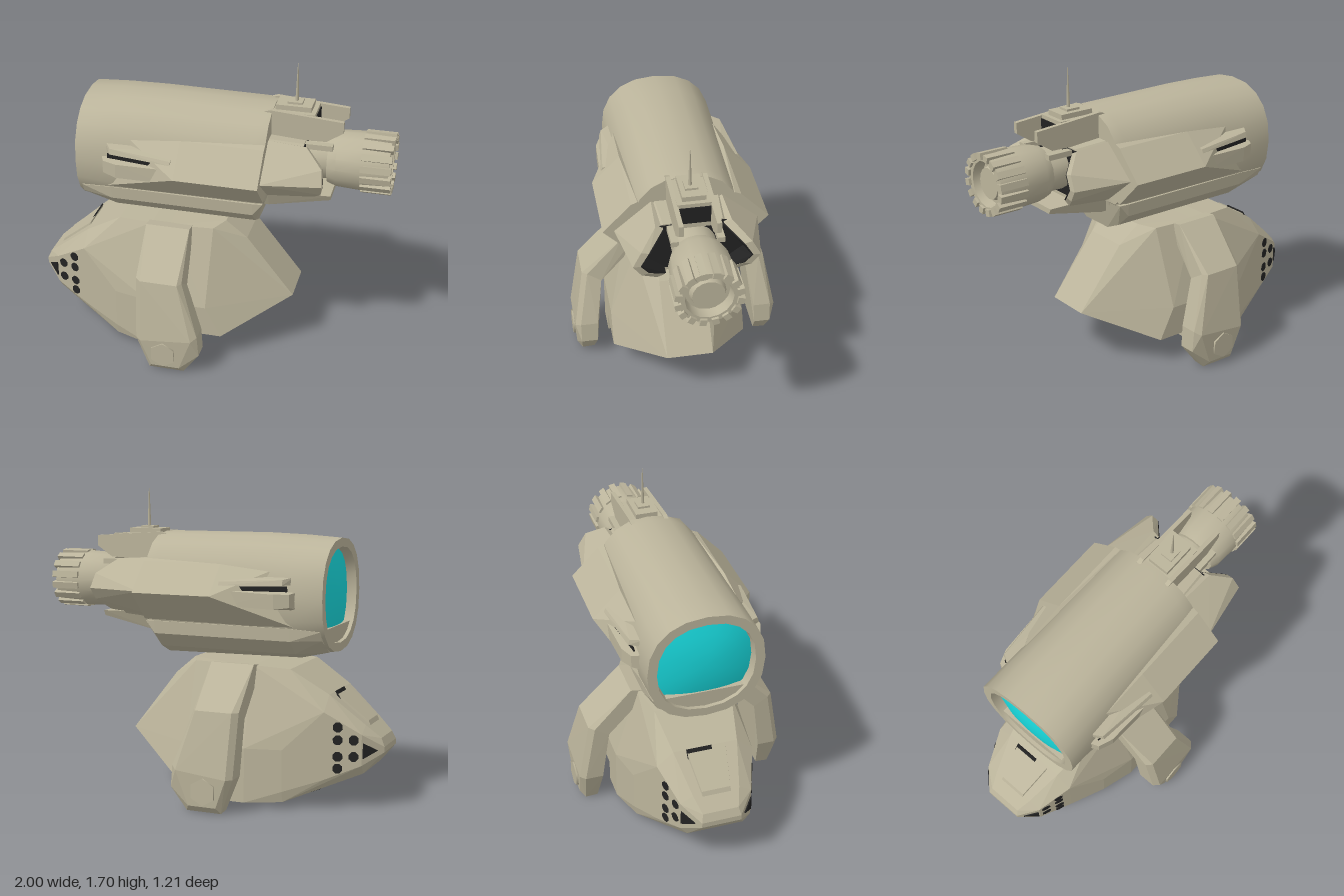
import * as THREE from 'three';
import { toCreasedNormals } from 'three/addons/utils/BufferGeometryUtils.js';
import { ConvexGeometry } from 'three/addons/geometries/ConvexGeometry.js';

const paint = (name, color) => Object.assign(new THREE.MeshStandardMaterial({ color }), { name });

export function createModel() {
  const root = new THREE.Group();
  const hullPaint = paint('khaki hull', 0xbbb49b);
  const black = paint('black', 0x222222);
  const teal = paint('teal lens', 0x18d8dc);

  const add = (name, geo, mat = hullPaint, x = 0, y = 0, z = 0) => {
    const m = new THREE.Mesh(geo, mat);
    m.name = name;
    m.position.set(x, y, z);
    root.add(m);
    return m;
  };
  const box = (name, x0, x1, y0, y1, z0, z1, mat) =>
    add(name, new THREE.BoxGeometry(x1 - x0, y1 - y0, z1 - z0), mat, (x0 + x1) / 2, (y0 + y1) / 2, (z0 + z1) / 2);
  // Convex solid around [x, y, z] points; s flips it to the other side
  const solid = (name, pts, s = 1, mat = hullPaint) =>
    add(name, new ConvexGeometry(pts.map(([x, y, z]) => new THREE.Vector3(x, y, z * s))), mat);
  const bothSides = pts => pts.flatMap(([x, y, z]) => [[x, y, z], [x, y, -z]]);

  // Skin over rings along x; each ring is [x, centreY, radiusY, radiusZ, lowest y]
  const loft = (rings, n, power, crease) => {
    const pos = [], idx = [];
    const bend = v => Math.sign(v) * Math.abs(v) ** power;
    rings.forEach(([x, cy, ry, rz, low = -9], i) => {
      for (let j = 0; j < n; j++) {
        const a = j / n * Math.PI * 2;
        pos.push(x, Math.max(low, cy + ry * bend(Math.cos(a))), rz * bend(Math.sin(a)));
        if (i + 1 < rings.length) {
          const p = i * n + j, q = i * n + (j + 1) % n;
          idx.push(p, q, p + n, q, q + n, p + n);
        }
      }
    });
    const g = new THREE.BufferGeometry();
    g.setAttribute('position', new THREE.Float32BufferAttribute(pos, 3));
    g.setIndex(idx);
    return toCreasedNormals(g, crease);
  };

  // Base: faceted nose and middle, then a wedge tail with a stepped underside
  solid('baseBody', bothSides([
    [-1, 0.345, 0.11], [-1, 0.315, 0.11], [-0.98, 0.39, 0.1], [-0.9, 0.46, 0.13],
    [-0.9, 0.42, 0.2], [-0.9, 0.25, 0.2], [-0.9, 0.2, 0.16],
    [-0.71, 0.62, 0.18], [-0.71, 0.54, 0.27], [-0.71, 0.17, 0.27], [-0.71, 0.13, 0.24],
    [-0.5, 0.75, 0.22], [-0.5, 0.33, 0.345], [-0.5, 0.1, 0.345], [-0.5, 0.04, 0.33],
    [-0.3, 0.765, 0.26], [-0.3, 0.33, 0.39], [-0.3, 0.03, 0.39],
    [-0.15, 0.765, 0.26], [-0.15, 0.33, 0.39], [-0.15, 0.03, 0.39],
  ]));
  solid('baseTail', bothSides([
    [-0.2, 0.765, 0.26], [0.05, 0.765, 0.24], [0.1, 0.77, 0.14], [0.22, 0.67, 0.13], [0.49, 0.33, 0.13],
    [0.13, 0.155, 0.39], [-0.2, 0.155, 0.39], [0.04, 0.33, 0.39], [-0.2, 0.33, 0.39],
  ]));
  solid('noseHood', bothSides([
    [-0.92, 0.43, 0.08], [-0.9, 0.475, 0.08], [-0.75, 0.565, 0.11], [-0.72, 0.625, 0.11], [-0.72, 0.55, 0.11],
  ]));
  const slot = box('deckSlot', -0.036, 0.036, -0.004, 0.004, -0.07, 0.07, black);
  slot.position.set(-0.739, 0.598, -0.04);
  slot.rotation.z = Math.atan2(0.06, 0.036);
  const chin = box('chinPanel', -0.08, 0.08, -0.004, 0.004, -0.25, 0.25, black);
  chin.position.set(-0.61, 0.084, 0);
  chin.rotation.z = Math.atan2(-0.09, 0.21);

  // Rounded windows on both sides of the nose
  const portholes = [[-0.86, 0.39], [-0.86, 0.3], [-0.78, 0.46], [-0.78, 0.39], [-0.78, 0.3], [-0.78, 0.235]];
  for (const s of [1, -1]) {
    for (const [x, y] of portholes) {
      const w = add('porthole', new THREE.CylinderGeometry(0.028, 0.028, 0.008, 8), black,
        x, y, s * (0.2 + (x + 0.9) * 0.368));
      w.quaternion.setFromUnitVectors(new THREE.Vector3(0, 1, 0), new THREE.Vector3(-0.345, 0, 0.938 * s));
    }
    const tri = [[-0.97, 0.33, 0.137], [-0.905, 0.375, 0.1955], [-0.905, 0.29, 0.1955]];
    solid('noseWindow', [...tri, ...tri.map(([x, y, z]) => [x - 0.005, y, z + 0.005])], s, black);
  }

  for (const s of [1, -1]) {
    // Bent support arms with hexagonal pivot caps
    const elbow = [
      [-0.29, 0.55, 0.54], [-0.08, 0.55, 0.54], [-0.32, 0.55, 0.51], [-0.06, 0.55, 0.51], [-0.32, 0.5, 0.43], [-0.05, 0.5, 0.43],
    ];
    solid('upperArm', [
      [-0.32, 0.775, 0.3], [-0.07, 0.775, 0.3], [-0.32, 0.7, 0.24], [-0.07, 0.7, 0.24], [-0.32, 0.765, 0.23], [-0.07, 0.765, 0.23],
      ...elbow,
    ], s);
    solid('lowerArm', [
      ...elbow,
      [-0.28, 0.2, 0.6], [0.01, 0.23, 0.6], [-0.31, 0.2, 0.57], [0.04, 0.25, 0.57], [-0.31, 0.2, 0.47], [0.04, 0.25, 0.47], [0.05, 0.13, 0.57], [0.05, 0.13, 0.475],
      [-0.22, 0.04, 0.59], [-0.06, 0.04, 0.59], [-0.24, 0.005, 0.56], [-0.04, 0.005, 0.56], [-0.24, 0.01, 0.49], [-0.04, 0.01, 0.49],
    ], s);
    const cap = add('pivotCap', new THREE.CylinderGeometry(0.075, 0.075, 0.03, 6).toNonIndexed(), hullPaint, -0.15, 0.125, s * 0.592);
    cap.rotation.x = Math.PI / 2;
    box('undersideFin', -0.16, 0.03, 0.04, 0.17, s * 0.06 - 0.012, s * 0.06 + 0.012);
  }

  // Barrel: recessed front rim, round shell, undercut rear, squarer belly
  add('barrel', loft([
    [-0.64, 1.14, 0.255, 0.26], [-0.71, 1.14, 0.262, 0.268], [-0.71, 1.14, 0.31, 0.32],
    [-0.52, 1.132, 0.33, 0.318], [-0.3, 1.13, 0.338, 0.31], [0.28, 1.127, 0.337, 0.305],
    [0.34, 1.13, 0.33, 0.3, 0.98], [0.34, 1.13, 0, 0],
  ], 20, 0.87, 0.5));
  solid('barrelBelly', bothSides([
    [-0.69, 0.97, 0.285], [-0.69, 0.92, 0.26], [-0.69, 0.84, 0.13],
    [-0.52, 0.98, 0.295], [-0.52, 0.91, 0.29], [-0.52, 0.83, 0.2], [-0.52, 0.797, 0.1],
    [0.28, 0.98, 0.295], [0.28, 0.91, 0.29], [0.28, 0.83, 0.2], [0.28, 0.785, 0.1],
    [0.335, 0.98, 0.29], [0.335, 0.98, 0.1],
  ]));
  add('lens', loft([
    [-0.7, 1.14, 0, 0], [-0.695, 1.14, 0.09, 0.09], [-0.68, 1.14, 0.18, 0.18], [-0.655, 1.14, 0.26, 0.264],
  ], 20, 0.87, 0.8), teal);

  for (const s of [1, -1]) {
    // Diamond-edged side pods that fade into the barrel
    solid('sidePod', [
      [0.34, 1.325, 0.26], [0.34, 1.31, 0.295], [0.34, 1.15, 0.45], [0.34, 0.99, 0.29],
      [-0.12, 1.31, 0.295], [-0.12, 1.15, 0.45], [-0.15, 1.15, 0.42],
      [-0.4, 1.28, 0.29], [-0.56, 0.98, 0.285], [0.34, 1.15, 0.1], [-0.4, 1.15, 0.1],
    ], s);
    // Intake with a rail along its top
    solid('intake', [
      [-0.57, 1.08, 0.28], [-0.57, 1.18, 0.28], [-0.54, 1.1, 0.355], [-0.54, 1.17, 0.355],
      [-0.46, 1.09, 0.385], [-0.46, 1.17, 0.385], [-0.46, 1.08, 0.3],
      [-0.18, 1.1, 0.4], [-0.15, 1.18, 0.4], [-0.14, 1.2, 0.3], [-0.14, 1.09, 0.3],
    ], s);
    solid('intakeRail', [
      [-0.54, 1.215, 0.29], [-0.54, 1.255, 0.29], [-0.5, 1.215, 0.36], [-0.5, 1.245, 0.35],
      [-0.15, 1.205, 0.395], [-0.15, 1.225, 0.385], [-0.14, 1.25, 0.3], [-0.14, 1.2, 0.3],
    ], s);
    solid('intakeSlit', [
      [-0.52, 1.18, 0.335], [-0.52, 1.21, 0.335], [-0.17, 1.18, 0.385], [-0.17, 1.2, 0.385],
      [-0.52, 1.18, 0.327], [-0.17, 1.18, 0.377],
    ], s, black);
    // Angled plates shielding the rear, dark on the inside
    for (const [edgeY, tipX, tipY] of [[1.32, 0.55, 1.31], [0.99, 0.6, 1.02]]) {
      const plate = [[0.33, edgeY, 0.19], [0.33, 1.15, 0.39], [0.66, 1.15, 0.335], [0.65, (1.15 + tipY) / 2, 0.29], [tipX, tipY, 0.2]];
      const inset = (d, k) => plate.map(([x, y, z]) => [x, y + (1.15 - y) * k, z - d]);
      solid('rearShield', [...plate, ...inset(0.04, 0.12)], s);
      solid('rearShieldLining', [...inset(0.037, 0.14), ...inset(0.046, 0.17)], s, black);
    }
  }

  // Rear block with a dark end face
  const hex = (x, k) => bothSides([[x, 1.15 + 0.17 * k, 0.17 * k], [x, 1.15, 0.35 * k], [x, 1.15 - 0.17 * k, 0.17 * k]]);
  solid('rearBlock', [...hex(0.33, 1), ...hex(0.53, 0.92)]);
  const endFace = x => bothSides([[x, 1.3, 0.19], [x, 1.21, 0.265], [x, 1.1, 0.275], [x, 1.03, 0.17]]);
  solid('rearBlockEnd', [...endFace(0.53), ...endFace(0.537)], 1, black);
  solid('lowerTailPlate', bothSides([
    [0.3, 0.9, 0.13], [0.34, 0.9, 0.13], [0.3, 1.02, 0.18], [0.34, 1.01, 0.18],
    [0.68, 0.97, 0.125], [0.68, 1.0, 0.14],
  ]));

  // Top tail: two rails, a filler block with dark end, and the antenna mount
  const railShape = new THREE.Shape([[0.3, 1.3], [0.64, 1.31], [0.73, 1.37], [0.73, 1.43], [0.33, 1.46], [0.3, 1.45]]
    .map(p => new THREE.Vector2(...p)));
  for (const z of [-0.11, 0.085])
    add('tailRail', new THREE.ExtrudeGeometry(railShape, { depth: 0.025, bevelEnabled: false }), hullPaint, 0, 0, z);
  box('tailFiller', 0.3, 0.57, 1.3, 1.447, -0.09, 0.09);
  box('tailFillerEnd', 0.57, 0.576, 1.33, 1.425, -0.085, 0.085, black);
  box('antennaPlate', 0.35, 0.545, 1.44, 1.475, -0.065, 0.06);
  box('antennaFoot', 0.41, 0.49, 1.47, 1.487, -0.035, 0.035);
  add('antenna', new THREE.CylinderGeometry(0.002, 0.01, 0.215, 6), hullPaint, 0.455, 1.593, 0.004);

  // Nozzle with ribbed grip and sunken end
  add('nozzle', loft([
    [0.5, 1.17, 0.12, 0.12], [0.65, 1.17, 0.12, 0.12], [0.65, 1.17, 0.14, 0.14], [0.7, 1.17, 0.155, 0.16],
    [0.83, 1.17, 0.162, 0.168], [0.985, 1.17, 0.155, 0.16], [0.985, 1.17, 0.125, 0.125],
    [0.93, 1.17, 0.115, 0.115], [0.93, 1.17, 0.095, 0.095], [0.965, 1.17, 0.085, 0.085], [0.965, 1.17, 0, 0],
  ], 16, 1, 0.5));
  for (let i = 0; i < 16; i++) {
    const a = (i + 0.5) / 16 * Math.PI * 2;
    const rib = add('nozzleRib', new THREE.BoxGeometry(0.165, 0.036, 0.036), hullPaint,
      0.9175, 1.17 + 0.15 * Math.cos(a), 0.162 * Math.sin(a));
    rib.rotation.x = a;
  }
  for (const s of [1, -1])
    box('nozzleStrut', 0.5, 0.68, 1.27, 1.3, s * 0.12 - 0.02, s * 0.12 + 0.02);

  return root;
}
